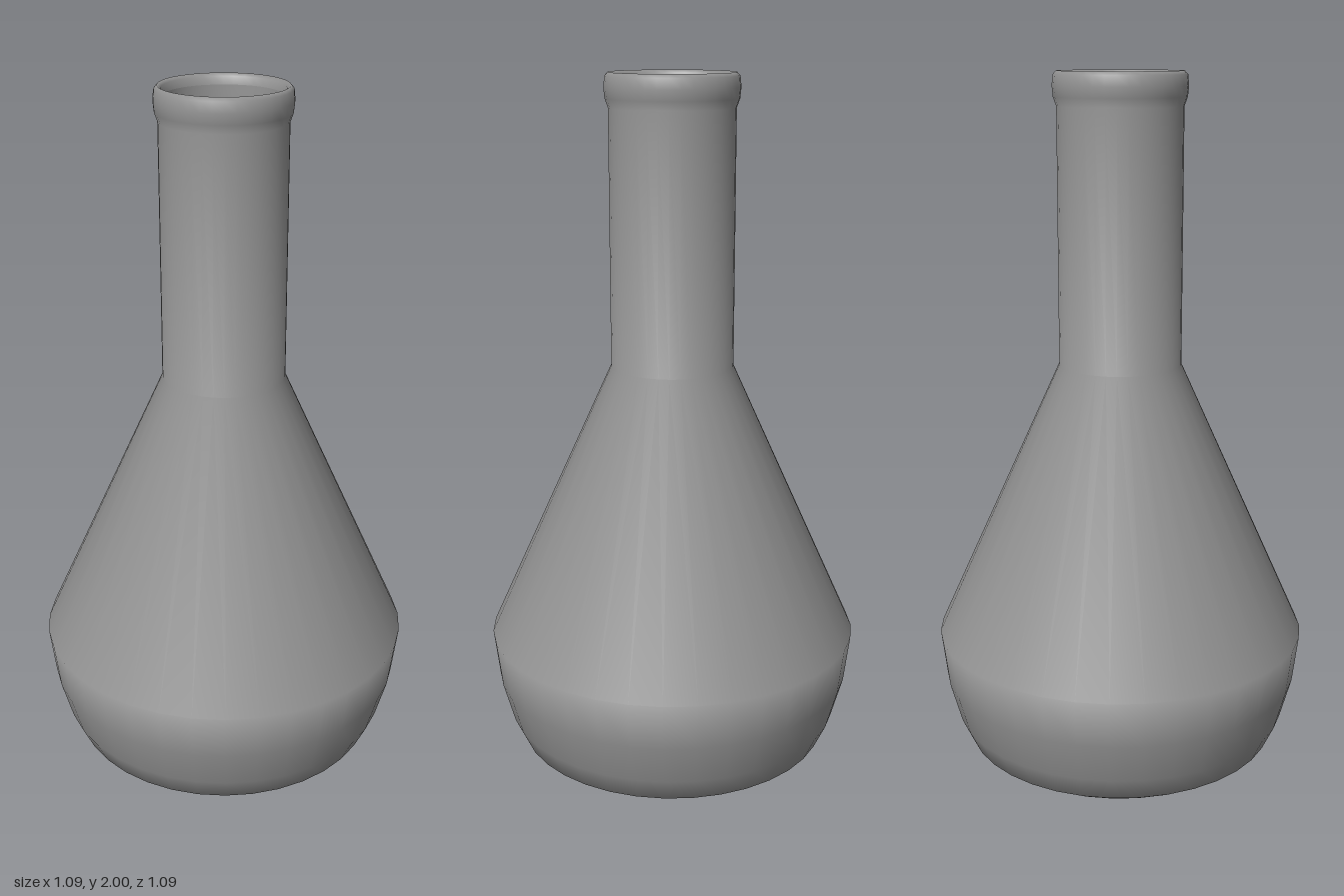
import * as THREE from 'three';

const SEGMENTS = 36;

function lathe(name, points, material) {
  const profile = points.map(([r, y]) => new THREE.Vector2(r, y));
  const mesh = new THREE.Mesh(new THREE.LatheGeometry(profile, SEGMENTS), material);
  mesh.name = name;
  return mesh;
}

export function createModel() {
  const group = new THREE.Group();
  group.name = 'flask';
  const material = new THREE.MeshStandardMaterial({ color: 0x969696 });

  // Outer shell: flat base, rounded belly, conical shoulder, straight neck, rolled lip
  group.add(lathe('outerBody', [
    [0, 0], [0.42, 0], [0.463, 0.027], [0.497, 0.1], [0.53, 0.22], [0.547, 0.36],
    [0.178, 1.175], [0.178, 1.905],
    [0.187, 1.93], [0.19, 1.96], [0.187, 1.99], [0.178, 2], [0.168, 1.992], [0.164, 1.97],
  ], material));

  // Inner wall, from the mouth down to the floor
  group.add(lathe('innerWall', [
    [0.164, 1.97], [0.164, 1.172], [0.534, 0.358], [0.518, 0.22],
    [0.478, 0.09], [0.42, 0.012], [0, 0.012],
  ], material));

  return group;
}
